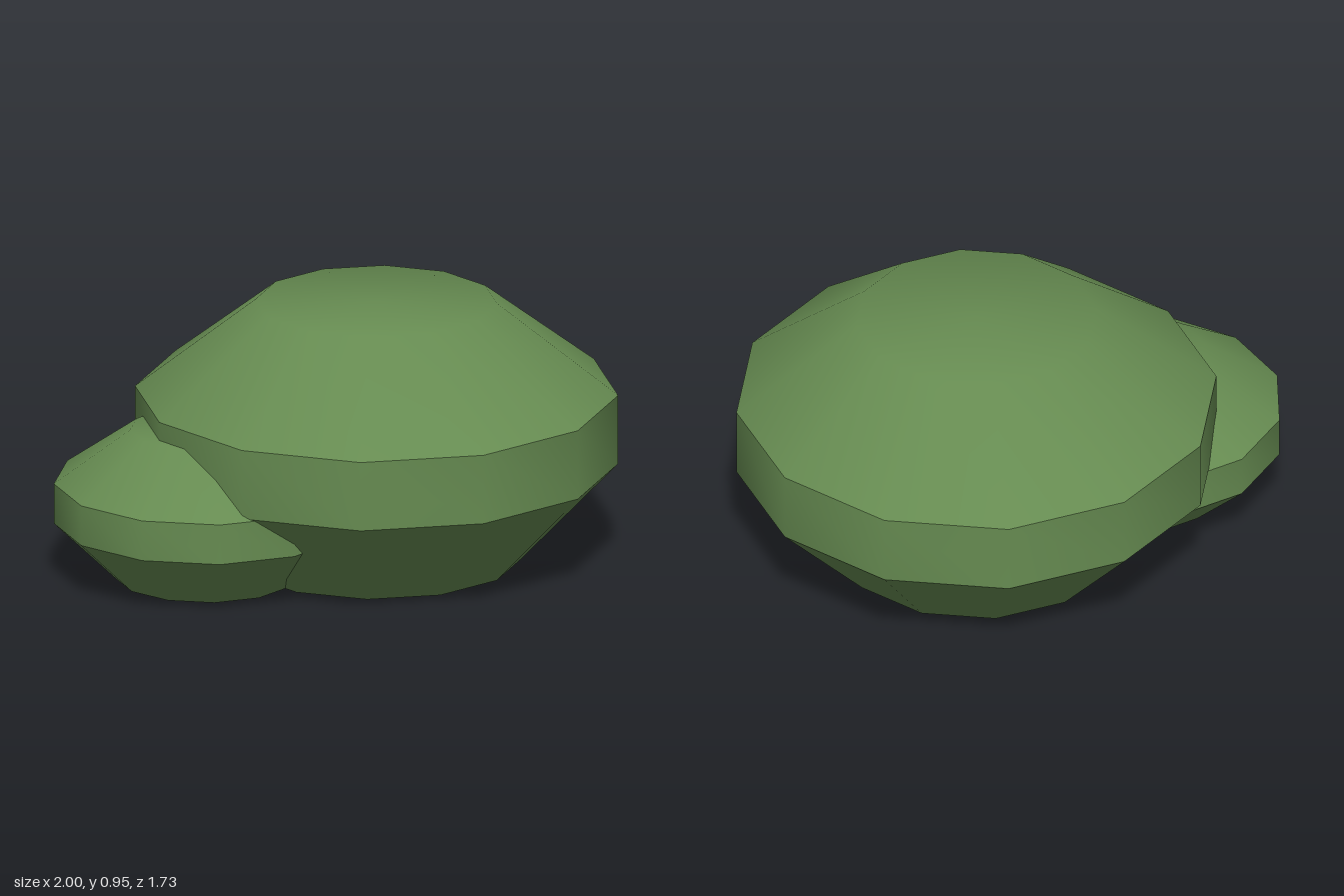
import * as THREE from 'three';
import { toCreasedNormals } from 'three/addons/utils/BufferGeometryUtils.js';

// Twelve-sided clump: flat base, flared underside, upright band, domed top
function makeClump(name, radius, height, material) {
  const profile = [
    [0, 0], [0.597, 0], [1, 0.382], [1, 0.65], [0.5, 1], [0, 1],
  ].map(([r, y]) => new THREE.Vector2(r * radius, y * height));
  // Crease angle keeps the band and base edges sharp, the crown smooth
  const geometry = toCreasedNormals(new THREE.LatheGeometry(profile, 12), 0.71);
  const mesh = new THREE.Mesh(geometry, material);
  mesh.name = name;
  return mesh;
}

export function createModel() {
  const group = new THREE.Group();
  group.name = 'bush';

  const leafGreen = new THREE.MeshStandardMaterial({ color: 0x668b51 });
  leafGreen.name = 'leaf green';

  // Main clump
  const large = makeClump('largeClump', 0.865, 0.955, leafGreen);
  large.position.set(0.135, 0, 0);

  // Smaller clump growing out of its front right side
  const small = makeClump('smallClump', 0.547, 0.553, leafGreen);
  small.position.set(-0.457, 0, 0.27);
  small.rotation.y = THREE.MathUtils.degToRad(9);

  group.add(large, small);
  return group;
}
